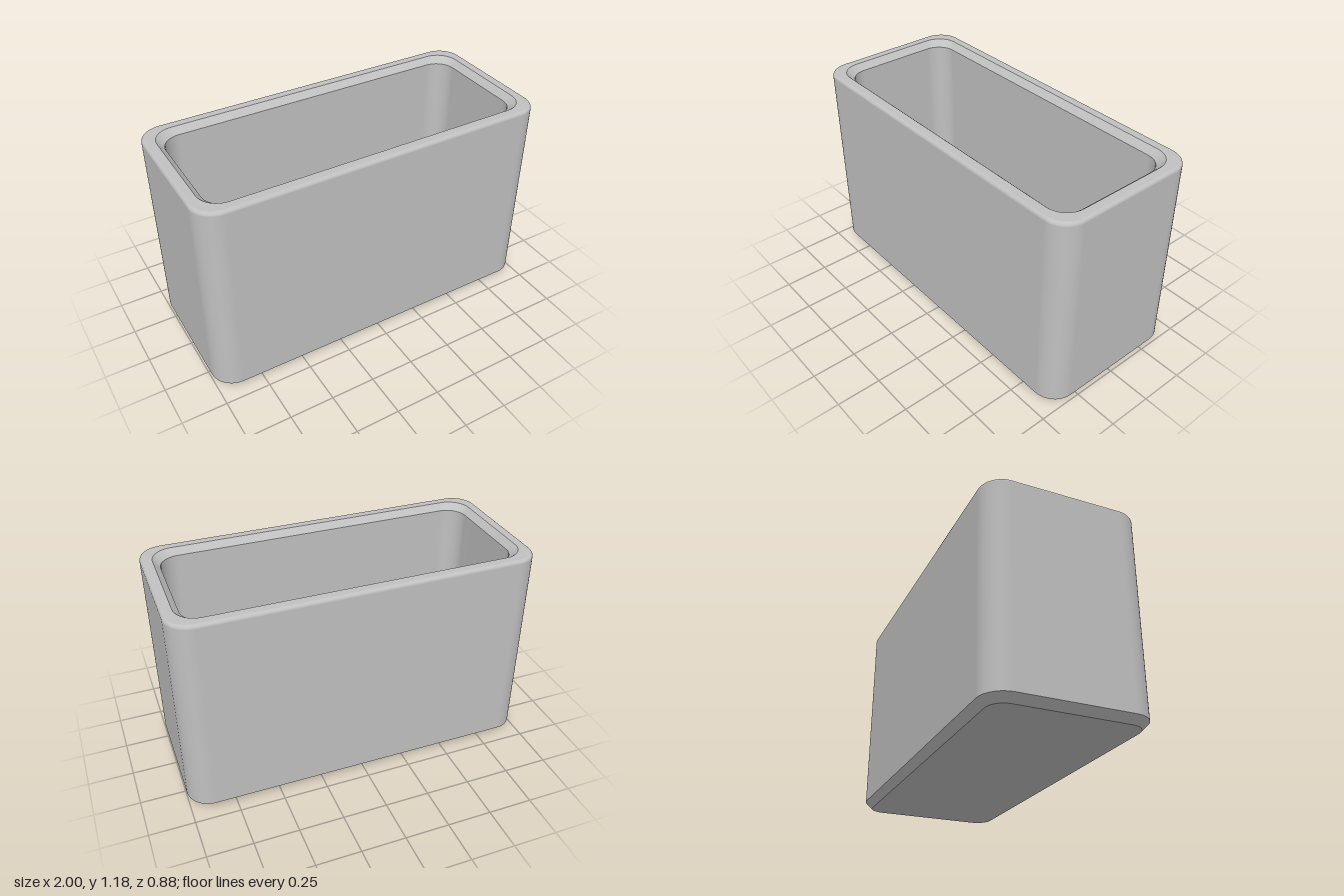
import * as THREE from 'three';
import { mergeGeometries } from 'three/addons/utils/BufferGeometryUtils.js';

const HX = 1, HZ = 0.4375, H = 1.18; // outer half sizes and height
const CORNER_STEPS = 12;

// Rounded rectangle cross-section, inset from the outer wall
function ring({ inset, y, r, centre }) {
  const pts = [];
  const cx = HX - inset - r, cz = HZ - inset - r;
  [[1, 1], [-1, 1], [-1, -1], [1, -1]].forEach(([sx, sz], q) => {
    for (let i = 0; i <= CORNER_STEPS; i++) {
      const a = (q + i / CORNER_STEPS) * Math.PI / 2;
      if (centre) pts.push(0, y, 0);
      else pts.push(sx * cx + r * Math.cos(a), y, sz * cz + r * Math.sin(a));
    }
  });
  return pts;
}

// Smooth skin over successive cross-sections
function skin(sections) {
  const n = 4 * (CORNER_STEPS + 1), index = [];
  for (let j = 0; j < sections.length - 1; j++) {
    for (let i = 0; i < n; i++) {
      const k = (i + 1) % n;
      const a = j * n + i, b = j * n + k, c = a + n, d = b + n;
      index.push(a, c, b, b, c, d);
    }
  }
  const g = new THREE.BufferGeometry();
  g.setAttribute('position', new THREE.Float32BufferAttribute(sections.flatMap(ring), 3));
  g.setIndex(index);
  g.computeVertexNormals();
  return g;
}

export function createModel() {
  const grey = new THREE.MeshStandardMaterial({ color: 0xc0c0c0 });
  grey.name = 'light grey';
  const group = new THREE.Group();
  group.name = 'openBox';
  const add = (name, ...skins) => {
    const mesh = new THREE.Mesh(mergeGeometries(skins.map(skin)), grey);
    mesh.name = name;
    group.add(mesh);
  };

  // Key cross-sections
  const foot = { inset: 0.04, y: 0, r: 0.09 };
  const wallBottom = { inset: 0, y: 0.04, r: 0.13 };
  const rimInner = { inset: 0.06, y: H, r: 0.12 };
  const lipBottom = { inset: 0.095, y: H - 0.035, r: 0.11 };
  const floorY = 0.08, cove = 0.08, round = 0.02;

  // Flat underside and bevelled foot
  add('base', [{ y: 0, inset: 0, r: 0.1, centre: true }, foot], [foot, wallBottom]);

  // Outer wall, rounding over into the flat rim
  const outer = [wallBottom];
  for (let i = 0; i <= 6; i++) {
    const a = i / 6 * Math.PI / 2, inset = round * (1 - Math.cos(a));
    outer.push({ inset, y: H - round + round * Math.sin(a), r: 0.13 - inset });
  }
  add('outerWallAndRim', [...outer, rimInner]);

  // Bevelled lip around the opening
  add('lip', [rimInner, lipBottom]);

  // Inner wall, coved into the floor
  const inner = [lipBottom];
  for (let i = 0; i <= 8; i++) {
    const a = i / 8 * Math.PI / 2, t = 1 - Math.cos(a);
    inner.push({ inset: 0.095 + cove * t, y: floorY + cove * (1 - Math.sin(a)), r: 0.11 - 0.03 * t });
  }
  add('innerWallAndFloor', [...inner, { y: floorY, inset: 0, r: 0.1, centre: true }]);

  return group;
}
